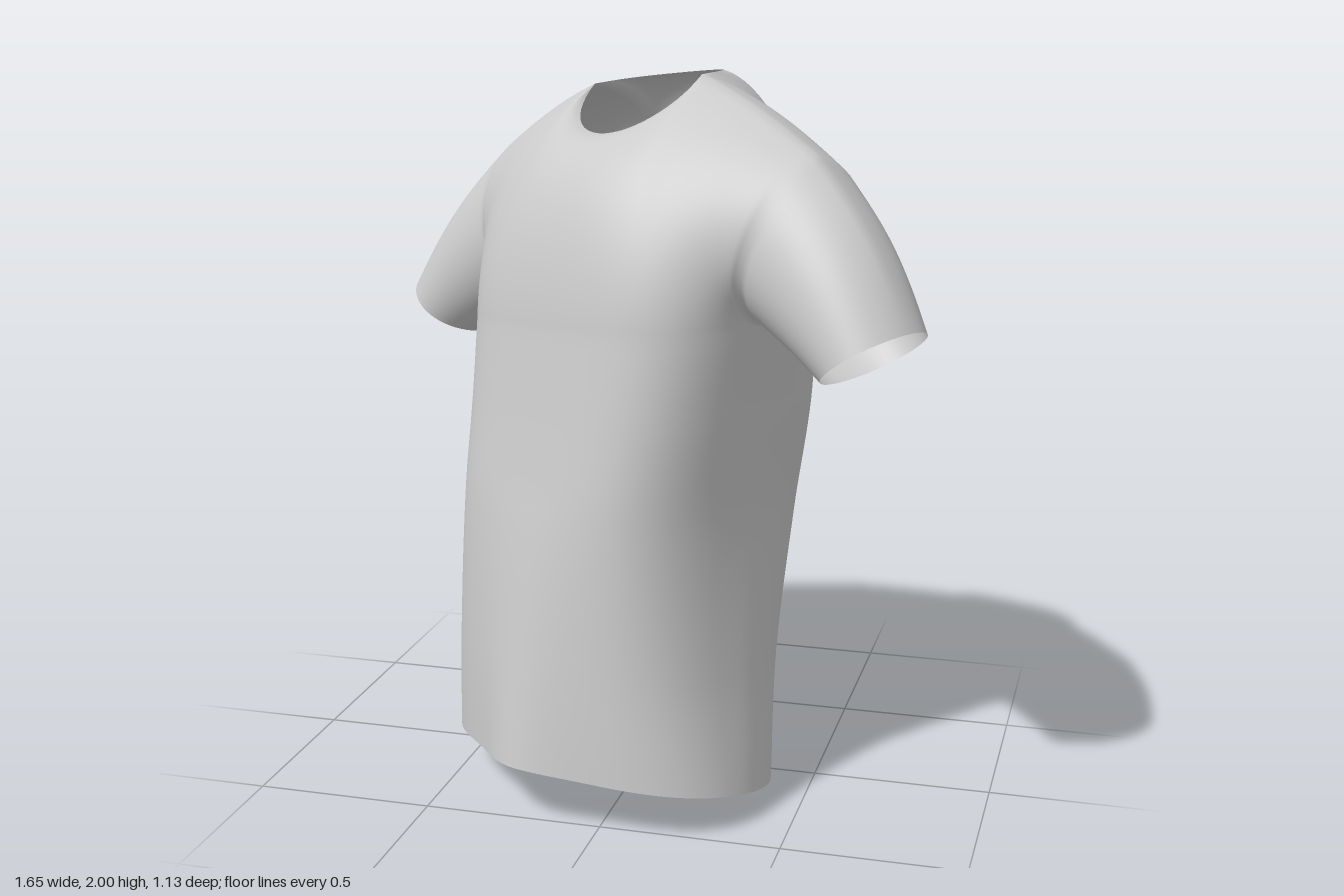
import * as THREE from 'three';
import { mergeVertices } from 'three/addons/utils/BufferGeometryUtils.js';

const V = (x, y, z) => new THREE.Vector3(x, y, z);
const { sin, cos, abs, sign, pow, min, max, exp, PI } = Math;
const HALF = 60;      // columns across the front or the back
const RISE = 32;      // rows from armpit to shoulder
const HEM = 0.086, ARMPIT = 1.34;

// Torso rings: height, then centre x, centre z, half width, half depth, squareness, tilt in x, tilt in z
const ringHeights = [HEM, 0.4, 0.8, 1.1, ARMPIT];
const ringValues = [
  0.025, 0.17, 0.485, 0.385, 2.2, 0.025, 0.205,
  0.005, 0.132, 0.44, 0.395, 2.6, 0.02, 0.13,
  -0.005, 0.068, 0.415, 0.415, 3, 0.02, 0.06,
  0, 0.025, 0.43, 0.41, 3.1, 0.04, 0.02,
  0, 0.01, 0.455, 0.39, 2.9, 0.06, 0,
];
const rings = new THREE.CubicInterpolant(new Float32Array(ringHeights), new Float32Array(ringValues), 7);

// Soft hollow down the spine
const hollow = (x) => 0.045 * exp(-pow((x + 0.03) / 0.14, 2));

// Point on the torso; the angle runs from the right side over the front to the left side
function torso(angle, y) {
  const [cx, cz, w, d, p, tx, tz] = rings.evaluate(y);
  const c = -cos(angle), s = sin(angle);
  const x = w * sign(c) * pow(abs(c), 2 / p);
  let z = d * sign(s) * pow(abs(s), 2 / p);
  if (s < 0) z += hollow(x) * min(1, y);
  // hanging fold in the middle of the front, fading upwards
  else z += s * max(0, 1 - y / 0.9) * (0.07 * exp(-pow((x - 0.03) / 0.15, 2)) - 0.03);
  return V(cx + x, y + tx * x + tz * z, cz + z);
}

// Measures of each side: shoulder tip, neck point, sleeve opening centre
const right = { dir: -1, column: 0, tip: V(-0.59, 1.77, -0.05), neck: V(-0.24, 1.95, -0.03), cuff: V(-0.81, 1.26, -0.01) };
const left = { dir: 1, column: 1, tip: V(0.57, 1.825, -0.035), neck: V(0.165, 2.0, -0.04), cuff: V(0.8, 1.33, -0.01) };

// Shoulder seam, neckline, shoulder seam
function topEdge(s, face) {
  const seam = (side, k) => side.tip.clone().lerp(side.neck, k).add(V(0, 0.012 * sin(PI * k), 0));
  if (s <= 0.3) return seam(right, s / 0.3);
  if (s >= 0.7) return seam(left, (1 - s) / 0.3);
  const a = PI * (s - 0.3) / 0.4;
  const p = right.neck.clone().lerp(left.neck, (1 - cos(a)) / 2);
  const out = face > 0 ? sin(a) : pow(sin(a), 0.5);
  p.z += face * 0.16 * out;
  p.y += (face > 0 ? -0.135 : 0.01) * out;
  return p;
}

// Chest or upper back: every column is a curve from the torso up to the shoulder or neck
function panel(s, t, face) {
  const front = face > 0;
  const edge = pow(abs(1 - 2 * s), 5), mid = sin(PI * s);
  const p0 = torso(face * PI * s, ARMPIT);
  const p3 = topEdge(s, face);
  const p1 = p0.clone().add(V(0,
    0.08 * edge + (front ? 0.2 : 0.25) * (1 - edge),
    front ? 0.22 * edge - 0.015 * (1 - edge) : -0.34 * edge));
  const p2 = right.tip.clone().lerp(left.tip, s);
  p2.y += -0.1 + (front ? 0.14 : 0.27) * mid;
  p2.z += front ? 0.22 + 0.13 * mid : -0.35 + 0.01 * mid + hollow(p2.x);
  return new THREE.CubicBezierCurve3(p0, p1, p2, p3).getPoint(t);
}

// Sleeve from armhole to opening; a runs from the underarm over the front
function sleevePoint(side, a, t) {
  const k = a / PI;
  const start = k <= 1 ? panel(side.column, k, 1) : panel(side.column, 2 - k, -1);
  const end = side.cuff.clone().add(V(-side.dir * 0.11 * cos(a), -0.08 * cos(a), 0.165 * sin(a)));
  const puff = 0.02 * sin(PI * t) * (1 - cos(a)) / 2;
  return start.lerp(end, t).add(V(side.dir * puff, puff, 0));
}

export function createModel() {
  const positions = [];
  // Adds a grid of quads over a surface function
  function grid(fn, nu, nv, flip = false) {
    for (let i = 0; i < nu; i++) for (let j = 0; j < nv; j++) {
      const a = fn(i / nu, j / nv), b = fn((i + 1) / nu, j / nv);
      const c = fn((i + 1) / nu, (j + 1) / nv), d = fn(i / nu, (j + 1) / nv);
      for (const p of flip ? [a, d, b, b, d, c] : [a, b, d, b, c, d]) positions.push(p.x, p.y, p.z);
    }
  }
  const ends = [0];
  const closePart = () => ends.push(positions.length / 3);

  grid((s, t) => torso(2 * PI * s, HEM + (ARMPIT - HEM) * t), 2 * HALF, 36);
  grid((s, t) => panel(s, t, 1), HALF, RISE);
  grid((s, t) => panel(s, t, -1), HALF, RISE, true);
  closePart();
  for (const side of [right, left]) {
    grid((s, t) => sleevePoint(side, 2 * PI * s, t), 2 * RISE, 18, side.dir > 0);
    closePart();
  }

  // Weld everything so that shading runs smoothly across the sleeve seams
  let cloth = new THREE.BufferGeometry();
  cloth.setAttribute('position', new THREE.Float32BufferAttribute(positions, 3));
  cloth = mergeVertices(cloth, 1e-4);
  cloth.computeVertexNormals();

  const material = new THREE.MeshStandardMaterial({ color: 0xcccccc, side: THREE.DoubleSide });
  const shirt = new THREE.Group();
  shirt.name = 'shirt';
  ['body', 'rightSleeve', 'leftSleeve'].forEach((name, i) => {
    const part = new THREE.BufferGeometry();
    part.setAttribute('position', cloth.attributes.position);
    part.setAttribute('normal', cloth.attributes.normal);
    part.setIndex(Array.from(cloth.index.array.slice(ends[i], ends[i + 1])));
    const mesh = new THREE.Mesh(part, material);
    mesh.name = name;
    shirt.add(mesh);
  });

  // The shirt is turned towards its right
  shirt.rotation.y = -PI / 6;
  const model = new THREE.Group();
  model.name = 'tShirt';
  model.add(shirt);
  return model;
}
